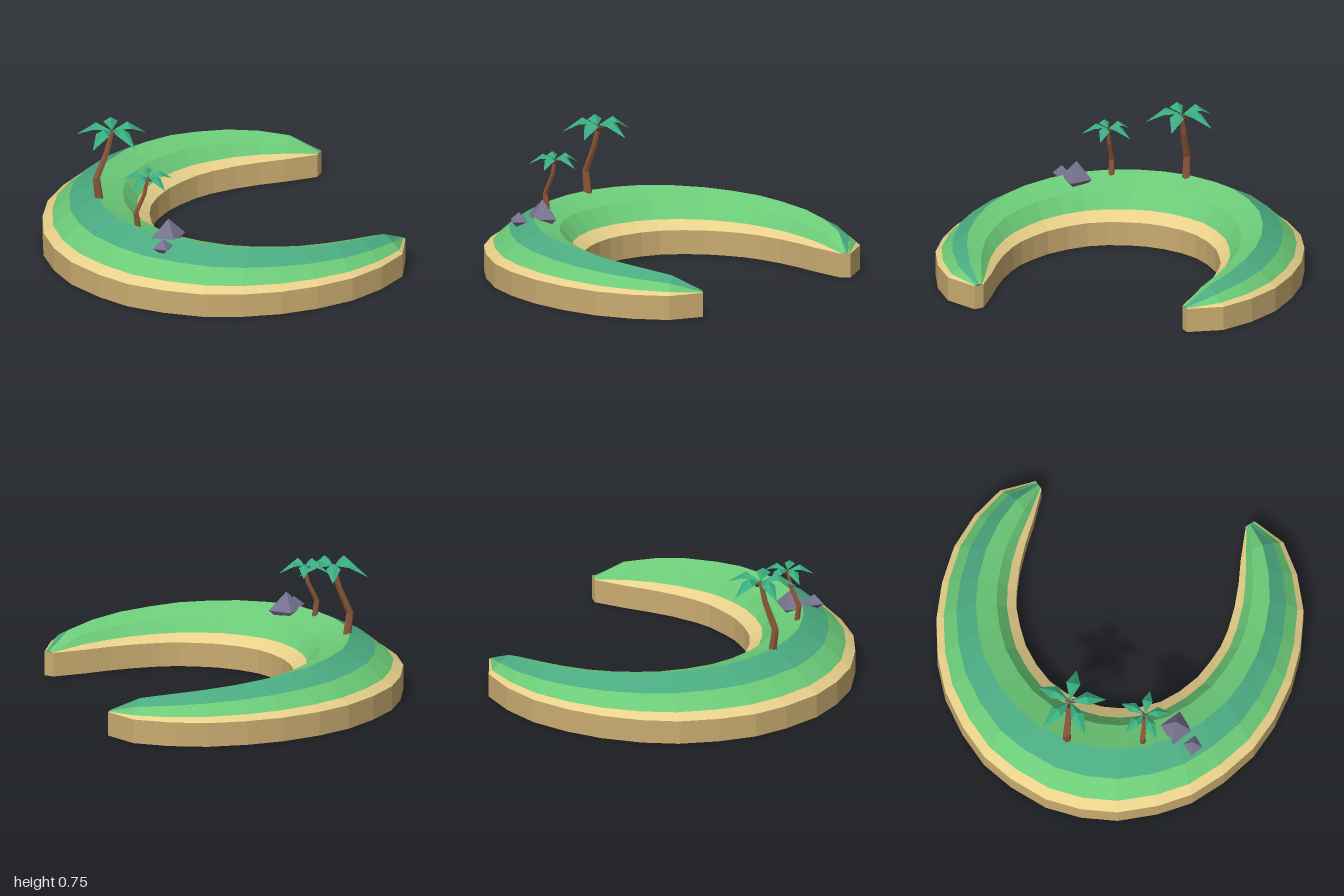
import * as THREE from 'three';

const mat = (color) => new THREE.MeshStandardMaterial({ color, flatShading: true, side: THREE.DoubleSide });
const WALL = mat(0xc9ab70), SAND = mat(0xe8d08a), GRASS = mat(0x6ccb78), DARK_GRASS = mat(0x4aaa80);
const BARK = mat(0x8a5638), LEAF = mat(0x3aad80), NUT = mat(0x5a3826), ROCK = mat(0x77738f);

function addMesh(parent, name, geometry, material) {
  const mesh = new THREE.Mesh(geometry, material);
  mesh.name = name;
  parent.add(mesh);
  return mesh;
}

// Unshared triangles from a list of corner points
function facets(points) {
  const g = new THREE.BufferGeometry();
  g.setAttribute('position', new THREE.Float32BufferAttribute(points.flat(), 3));
  g.computeVertexNormals();
  return g;
}
const quad = (a, b, c, d) => [a, b, c, a, c, d];

// Skin between successive rows of points
function loft(rows) {
  const tris = [];
  for (let i = 0; i + 1 < rows.length; i++)
    for (let j = 0; j + 1 < rows[i].length; j++)
      tris.push(...quad(rows[i][j], rows[i + 1][j], rows[i + 1][j + 1], rows[i][j + 1]));
  return facets(tris);
}

// Half of the crescent, from its middle to one tip: outer x, z, inner x, z, ridge height above the rim
const RIM = 0.135;
const HALF = [
  [-0.92, 0, -0.31, 0, 0.195], [-0.9, 0.2, -0.3, 0.1, 0.195], [-0.82, 0.41, -0.27, 0.21, 0.195],
  [-0.72, 0.58, -0.22, 0.31, 0.193], [-0.57, 0.73, -0.14, 0.4, 0.188], [-0.39, 0.86, -0.04, 0.48, 0.18],
  [-0.2, 0.94, 0.06, 0.53, 0.172], [0.02, 0.99, 0.16, 0.57, 0.163], [0.23, 1, 0.26, 0.59, 0.15],
  [0.45, 0.975, 0.4, 0.6, 0.135], [0.65, 0.9, 0.54, 0.595, 0.115], [0.82, 0.79, 0.68, 0.58, 0.088],
  [0.91, 0.61, 0.87, 0.57, 0.005],
];
// Cross-section from outer to inner edge: fraction of width, fraction of ridge height
const PROFILE = [[0, 0], [0.09, 0.19], [0.25, 0.62], [0.49, 1], [0.75, 0.72], [0.88, 0.25], [1, 0]];

function createIsland() {
  const island = new THREE.Group();
  island.name = 'island';
  const rows = [];
  for (let i = -12; i <= 12; i++) {
    const [ox, oz, ix, iz, h] = HALF[Math.abs(i)];
    const s = Math.sign(i);
    const at = (t, y) => [ox + (ix - ox) * t, y, s * (oz + (iz - oz) * t)];
    rows.push([at(0, 0), ...PROFILE.map(([t, k]) => at(t, RIM + k * h)), at(1, 0)]);
  }
  const bands = [
    ['outerWall', 0, 1, WALL], ['outerBeach', 1, 2, SAND], ['outerGrass', 2, 3, GRASS],
    ['upperGrass', 3, 4, DARK_GRASS], ['innerGrass', 4, 6, GRASS], ['innerBeach', 6, 7, SAND],
    ['innerWall', 7, 8, WALL],
  ];
  for (const [name, from, to, material] of bands)
    addMesh(island, name, loft(rows.map((r) => r.slice(from, to + 1))), material);

  // Narrow walls closing the two tips
  const a = rows[0], b = rows[24];
  addMesh(island, 'frontTipWall', facets(quad(b[0], b[8], b[7], b[1])), WALL);
  addMesh(island, 'backTipWall', facets(quad(a[1], a[7], a[8], a[0])), WALL);
  return island;
}

// Palm: path lists trunk x, y, radius from base to crown
function createPalm(name, path, z, size) {
  const palm = new THREE.Group();
  palm.name = name;
  palm.position.z = z;
  const rings = path.map(([x, y, r]) => Array.from({ length: 7 }, (_, k) => {
    const a = -k / 6 * Math.PI * 2;
    return [x + r * Math.cos(a), y, r * Math.sin(a)];
  }));
  addMesh(palm, 'trunk', loft(rings), BARK);

  const crown = new THREE.Group();
  crown.name = 'crown';
  const [cx, cy] = path[path.length - 1];
  crown.position.set(cx, cy, 0);
  crown.scale.setScalar(size);
  palm.add(crown);

  // Folded leaf: rises to its middle and droops to its tip
  const base = [0.005, 0.005, 0], mid = [0.09, 0.045, 0], tip = [0.2, -0.04, 0];
  const left = [0.1, 0.015, -0.04], right = [0.1, 0.015, 0.04];
  const leaf = facets([base, mid, left, left, mid, tip, base, right, mid, right, tip, mid]);
  for (let i = 0; i < 5; i++) addMesh(crown, 'leaf', leaf, LEAF).rotation.y = i / 5 * Math.PI * 2;

  // Coconuts below the leaves
  const nut = new THREE.IcosahedronGeometry(0.013, 0);
  for (let i = 0; i < 3; i++) {
    const a = (i + 0.5) / 3 * Math.PI * 2;
    addMesh(crown, 'coconut', nut, NUT).position.set(0.023 * Math.cos(a), -0.014, 0.023 * Math.sin(a));
  }
  return palm;
}

export function createModel() {
  const model = new THREE.Group();
  model.name = 'crescentIsland';
  model.add(createIsland());
  model.add(createPalm('tallPalm',
    [[-0.595, 0.31, 0.024], [-0.612, 0.44, 0.021], [-0.55, 0.59, 0.018], [-0.52, 0.71, 0.013]], -0.14, 1));
  model.add(createPalm('shortPalm',
    [[-0.53, 0.29, 0.018], [-0.545, 0.4, 0.015], [-0.495, 0.505, 0.013], [-0.475, 0.6, 0.009]], 0.27, 0.74));

  // Rocks: position, half sizes
  const gem = new THREE.OctahedronGeometry(1, 0);
  for (const [name, p, s] of [
    ['largeRock', [-0.42, 0.315, 0.435], [0.1, 0.1, 0.088]],
    ['smallRock', [-0.497, 0.303, 0.543], [0.06, 0.048, 0.053]],
  ]) {
    const rock = addMesh(model, name, gem, ROCK);
    rock.position.set(...p);
    rock.scale.set(...s);
  }
  return model;
}
